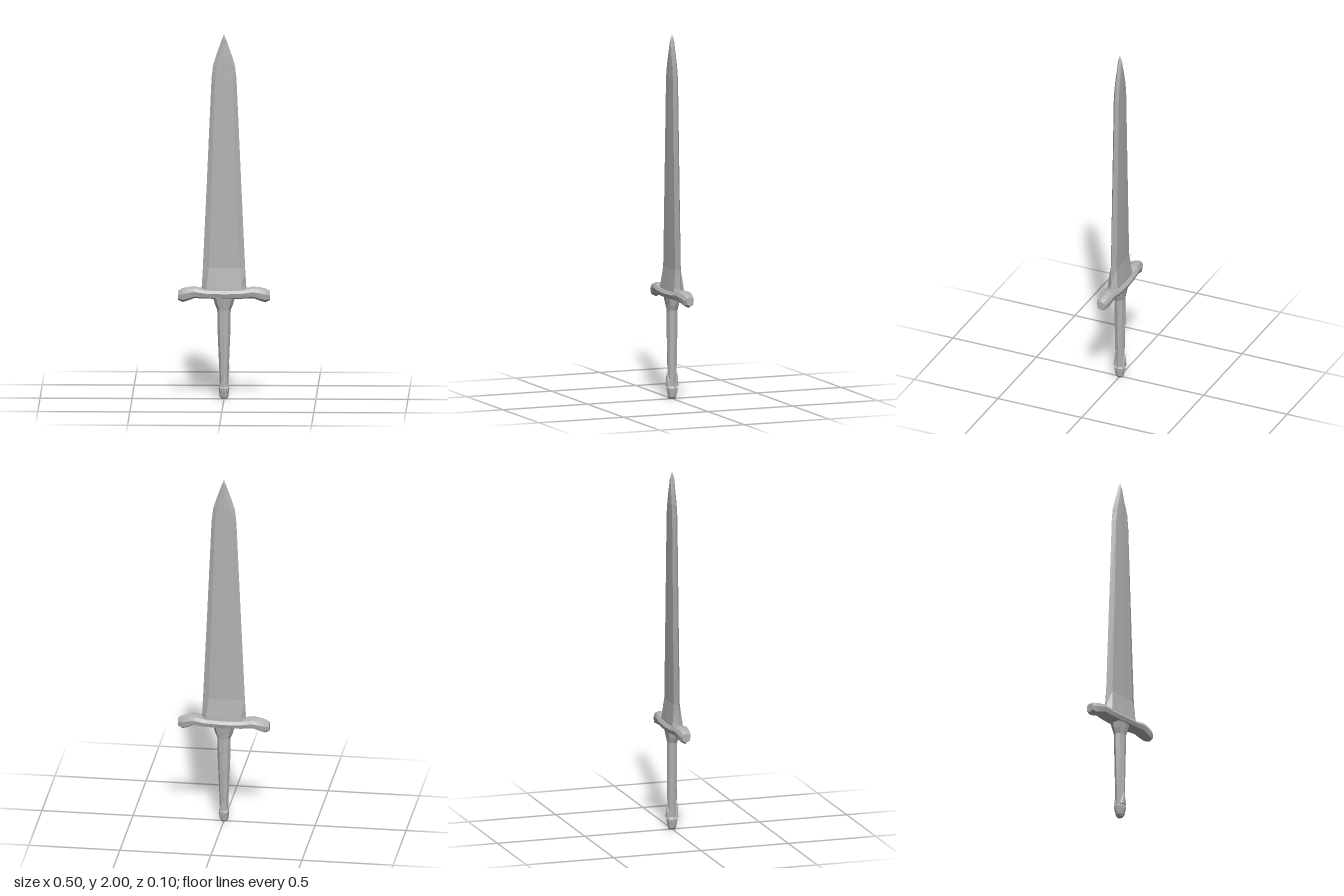
import * as THREE from 'three';

// Skin a list of equal-length rings of [x, y, z], with both ends capped.
// Rings run counter-clockwise when seen from the far end of the loft.
function loft(rings) {
  const n = rings[0].length;
  const pos = rings.flat(2);
  const index = [];
  for (let r = 0; r < rings.length - 1; r++) {
    for (let i = 0; i < n; i++) {
      const a = r * n + i, b = r * n + (i + 1) % n;
      index.push(a, b, b + n, a, b + n, a + n);
    }
  }
  const last = (rings.length - 1) * n;
  for (let i = 1; i < n - 1; i++) {
    index.push(0, i + 1, i, last, last + i, last + i + 1);
  }
  const indexed = new THREE.BufferGeometry();
  indexed.setAttribute('position', new THREE.Float32BufferAttribute(pos, 3));
  indexed.setIndex(index);
  const geometry = indexed.toNonIndexed();
  geometry.computeVertexNormals();
  return geometry;
}

// Horizontal eight-sided ring: half width w, half depth d, shoulder at (sx, sz)
const ring = (y, w, d, sx, sz) => [
  [w, y, 0], [sx, y, -sz], [0, y, -d], [-sx, y, -sz],
  [-w, y, 0], [-sx, y, sz], [0, y, d], [sx, y, sz],
];

export function createModel() {
  const model = new THREE.Group();
  model.name = 'sword';
  const steel = new THREE.MeshStandardMaterial({ color: 0xb2b2b2, flatShading: true });
  steel.name = 'grey steel';
  const add = (name, rings) => {
    const mesh = new THREE.Mesh(loft(rings), steel);
    mesh.name = name;
    model.add(mesh);
  };

  // Blade: flat-ridged centre, bevelled edges, flared foot and pointed tip
  add('blade', [
    ring(0.57, 0.127, 0.036, 0.105, 0.032),
    ring(0.62, 0.121, 0.031, 0.095, 0.028),
    ring(0.72, 0.115, 0.019, 0.082, 0.017),
    ring(1.2, 0.093, 0.018, 0.066, 0.016),
    ring(1.76, 0.068, 0.017, 0.048, 0.015),
    ring(1.83, 0.06, 0.017, 0.038, 0.014),
    ring(1.88, 0.045, 0.016, 0.026, 0.013),
    ring(1.97, 0.013, 0.012, 0.006, 0.009),
    ring(2.0, 0.001, 0.002, 0.0005, 0.001),
  ]);

  // Crossguard: half stations [x, bottom, top, half depth], mirrored across x
  const half = [
    [0, 0.548, 0.603, 0.05], [0.1, 0.55, 0.606, 0.046], [0.16, 0.553, 0.618, 0.042],
    [0.2, 0.538, 0.614, 0.037], [0.225, 0.531, 0.608, 0.032], [0.25, 0.543, 0.594, 0.022],
  ];
  const stations = [...half.slice(1).reverse().map(([x, ...s]) => [-x, ...s]), ...half];
  add('crossguard', stations.map(([x, lo, hi, d]) => {
    const h = hi - lo;
    return [
      [x, hi, 0], [x, hi - h * 0.12, d * 0.75], [x, hi - h * 0.4, d], [x, lo + h * 0.2, d * 0.85],
      [x, lo, 0], [x, lo + h * 0.2, -d * 0.85], [x, hi - h * 0.4, -d], [x, hi - h * 0.12, -d * 0.75],
    ];
  }));

  // Grip: tapering handle with a flared collar below the guard
  add('grip', [
    ring(0.05, 0.022, 0.026, 0.015, 0.02),
    ring(0.14, 0.025, 0.027, 0.017, 0.02),
    ring(0.35, 0.034, 0.029, 0.022, 0.022),
    ring(0.49, 0.037, 0.028, 0.024, 0.022),
    ring(0.52, 0.05, 0.032, 0.034, 0.026),
    ring(0.56, 0.06, 0.038, 0.042, 0.032),
  ]);

  // Pointed leaves on the front and back of the grip, just above the pommel
  for (const side of [1, -1]) {
    const leaf = new THREE.Mesh(loft([
      ring(0.07, 0.023, 0.012, 0.016, 0.009),
      ring(0.1, 0.017, 0.012, 0.011, 0.009),
      ring(0.142, 0.001, 0.011, 0.001, 0.008),
    ]), steel);
    leaf.name = side > 0 ? 'frontLeaf' : 'backLeaf';
    leaf.position.z = side * 0.022;
    model.add(leaf);
  }

  // Pommel: rounded knob with a narrow top rim
  add('pommel', [
    ring(0, 0.014, 0.018, 0.01, 0.013),
    ring(0.012, 0.023, 0.024, 0.017, 0.018),
    ring(0.045, 0.028, 0.031, 0.021, 0.023),
    ring(0.06, 0.029, 0.032, 0.022, 0.024),
    ring(0.07, 0.024, 0.027, 0.017, 0.02),
  ]);

  return model;
}
